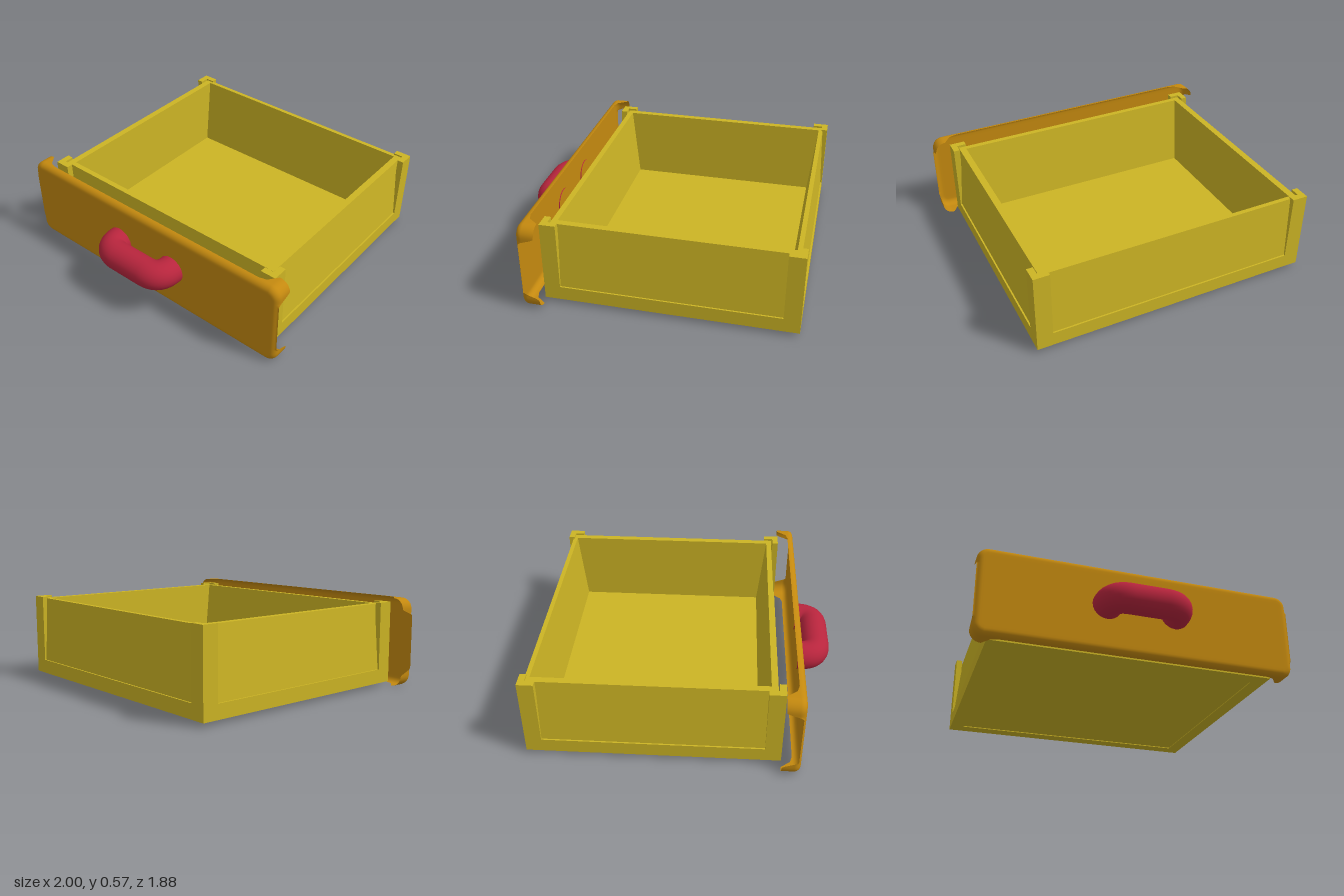
import * as THREE from 'three';

const yellow = new THREE.MeshStandardMaterial({ color: 0xccb424 });
yellow.name = 'yellow';
const orange = new THREE.MeshStandardMaterial({ color: 0xc4890f, side: THREE.DoubleSide });
orange.name = 'orange';
const red = new THREE.MeshStandardMaterial({ color: 0xb8253d });
red.name = 'red';

function add(parent, name, geometry, material) {
  const mesh = new THREE.Mesh(geometry, material);
  mesh.name = name;
  parent.add(mesh);
  return mesh;
}

// Skins a list of closed rings that all have the same number of points
function loft(rings, smooth) {
  const n = rings[0].length;
  const index = [];
  for (let i = 0; i < rings.length - 1; i++) {
    for (let j = 0; j < n; j++) {
      const k = (j + 1) % n;
      const a = i * n + j, b = i * n + k, c = b + n, d = a + n;
      index.push(a, b, c, a, c, d);
    }
  }
  let geometry = new THREE.BufferGeometry();
  geometry.setAttribute('position', new THREE.Float32BufferAttribute(rings.flat(2), 3));
  geometry.setIndex(index);
  if (!smooth) geometry = geometry.toNonIndexed();
  geometry.computeVertexNormals();
  return geometry;
}

// Rounded rectangle ring; inset shrinks it, depth(x, y) gives z
function roundedRing(inset, depth) {
  const hx = 1, hy = 0.285, cy = 0.29, r = 0.07, arc = 8, edge = 40;
  const corners = [[1, 1], [-1, 1], [-1, -1], [1, -1]];
  const outline = [];
  corners.forEach(([sx, sy], q) => {
    for (let i = 0; i <= arc; i++) {
      const t = (q + i / arc) * Math.PI / 2;
      outline.push([
        sx * (hx - r) + (r - inset) * Math.cos(t),
        sy * (hy - r) + (r - inset) * Math.sin(t) + cy,
      ]);
    }
  });
  const ring = [];
  outline.forEach((p, i) => {
    const next = outline[(i + 1) % outline.length];
    const steps = i % (arc + 1) === arc ? edge : 1;
    for (let s = 0; s < steps; s++) {
      const x = THREE.MathUtils.lerp(p[0], next[0], s / steps);
      const y = THREE.MathUtils.lerp(p[1], next[1], s / steps);
      ring.push([x, y, depth(x, y)]);
    }
  });
  return ring;
}

// The rim reaches far back only near the four corners
function rimDepth(x, y) {
  const dy = Math.abs(y - 0.29);
  if (Math.abs(x) > 0.93) {
    return THREE.MathUtils.lerp(0.712, 0.612, THREE.MathUtils.smoothstep(dy, 0.17, 0.22));
  }
  return THREE.MathUtils.lerp(0.685, 0.612, THREE.MathUtils.smoothstep(Math.abs(x), 0.87, 0.92));
}

function frontPanelGeometry() {
  const front = 0.728, r = 0.04;
  const rings = [roundedRing(0, rimDepth)];
  for (let i = 0; i <= 6; i++) {
    const t = i / 6 * Math.PI / 2;
    const z = front - r + r * Math.sin(t);
    rings.push(roundedRing(r * (1 - Math.cos(t)), (x, y) => Math.max(z, rimDepth(x, y))));
  }
  rings.push(roundedRing(0.06, () => front));
  rings.push(rings[0].map(() => [0, 0.29, front]));
  return loft(rings, true);
}

export function createModel() {
  const model = new THREE.Group();
  model.name = 'drawer';

  // Tray: half width, back z, front z, height; underside, outside, rim, inside
  const sections = [
    [0, -0.17, -0.17, 0.036],
    [0.81, -0.85, 0.525, 0.036],
    [0.81, -0.85, 0.525, 0.03],
    [0.9, -0.94, 0.615, 0.03],
    [0.9, -0.94, 0.615, 0.12],
    [0.89, -0.93, 0.605, 0.12],
    [0.853, -0.908, 0.565, 0.54],
    [0.81, -0.88, 0.53, 0.54],
    [0.805, -0.83, 0.48, 0.06],
    [0, -0.17, -0.17, 0.06],
  ];
  const rings = sections.map(([h, back, front, y]) => [
    [h, y, front], [h, y, back], [-h, y, back], [-h, y, front],
  ]);
  add(model, 'tray', loft(rings, false), yellow);

  // L-shaped corner posts standing on the base frame
  const width = 0.1, thick = 0.04, postHeight = 0.43;
  for (const sx of [-1, 1]) {
    for (const [z, sz] of [[-0.94, -1], [0.615, 1]]) {
      const post = new THREE.Group();
      post.name = `cornerPost${sz > 0 ? 'Front' : 'Back'}${sx > 0 ? 'Left' : 'Right'}`;
      const side = add(post, 'postSide', new THREE.BoxGeometry(thick, postHeight, width), yellow);
      side.position.set(-sx * thick / 2, 0, -sz * width / 2);
      const end = add(post, 'postEnd', new THREE.BoxGeometry(width - thick, postHeight, thick), yellow);
      end.position.set(-sx * (width + thick) / 2, 0, -sz * thick / 2);
      post.position.set(sx * 0.9, 0.12 + postHeight / 2, z);
      model.add(post);
    }
  }

  // Thin front with curled corners
  add(model, 'frontPanel', frontPanelGeometry(), orange);

  // Thick rounded pull handle
  const path = new THREE.CurvePath();
  const v = (x, z) => new THREE.Vector3(x, 0.308, z);
  path.add(new THREE.LineCurve3(v(-0.215, 0.722), v(-0.215, 0.75)));
  path.add(new THREE.QuadraticBezierCurve3(v(-0.215, 0.75), v(-0.21, 0.845), v(-0.11, 0.845)));
  path.add(new THREE.LineCurve3(v(-0.11, 0.845), v(0.11, 0.845)));
  path.add(new THREE.QuadraticBezierCurve3(v(0.11, 0.845), v(0.21, 0.845), v(0.215, 0.75)));
  path.add(new THREE.LineCurve3(v(0.215, 0.75), v(0.215, 0.722)));
  add(model, 'handle', new THREE.TubeGeometry(path, 64, 0.092, 24), red);

  return model;
}
